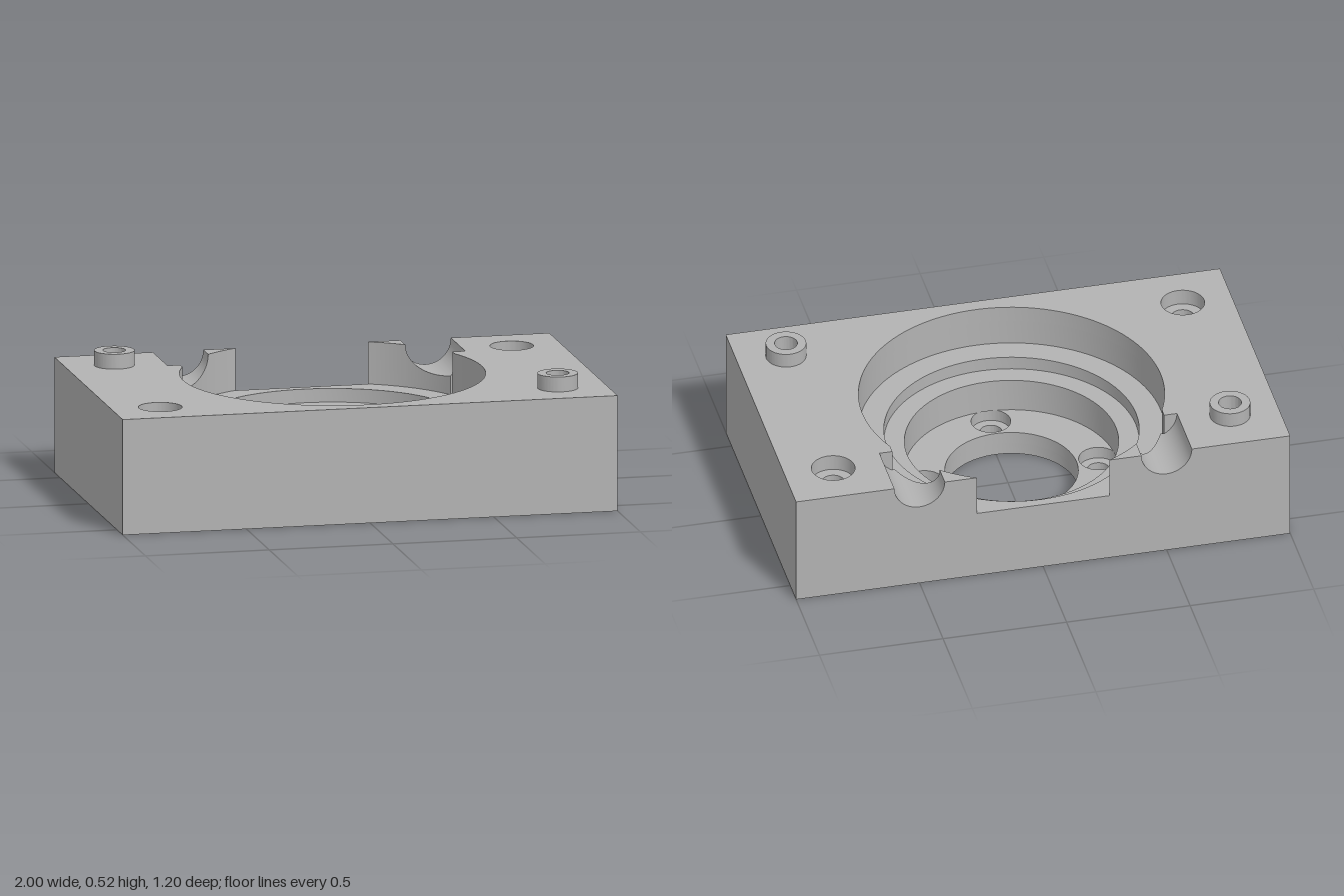
import * as THREE from 'three';
import { toCreasedNormals } from 'three/addons/utils/BufferGeometryUtils.js';

// Shapes are drawn in plan: shape x = x, shape y = -z, extruded upwards.
const CY = 0.06;            // plan centre of the round pocket
const TOP = 0.465;          // top face of the block
const LEDGE = 0.295;        // floor of the widest pocket
const R = 0.603;            // widest pocket radius
const GX = 0.5, GR = 0.102; // groove centre and radius
const GEND = 0.345, NECK = 0.55;

const arcY = (x) => CY + Math.sqrt(R * R - x * x);

function circle(x, y, r) {
  return new THREE.Path().absarc(x, y, r, 0, Math.PI * 2, true);
}

function hexagon(x, y, r) {
  const pts = [];
  for (let i = 0; i < 6; i++) {
    const a = -i * Math.PI / 3;
    pts.push(new THREE.Vector2(x + r * Math.cos(a), y + r * Math.sin(a)));
  }
  return new THREE.Path(pts);
}

function slab(name, shapes, y0, y1, material) {
  const geo = new THREE.ExtrudeGeometry(shapes, { depth: y1 - y0, bevelEnabled: false, curveSegments: 40 });
  geo.rotateX(-Math.PI / 2);
  geo.translate(0, y0, 0);
  const mesh = new THREE.Mesh(toCreasedNormals(geo, 0.5), material);
  mesh.name = name;
  return mesh;
}

function block(holes) {
  const s = new THREE.Shape();
  s.moveTo(-1, -0.6).lineTo(1, -0.6).lineTo(1, 0.6).lineTo(-1, 0.6).closePath();
  s.holes.push(...holes);
  return s;
}

// Upper wall open at the back, with notches for the grooves
function upperWall(holes) {
  const a = Math.atan2(arcY(NECK) - CY, NECK), out = GX + GR;
  const s = new THREE.Shape();
  s.moveTo(-1, -0.6).lineTo(1, -0.6).lineTo(1, 0.6).lineTo(out, 0.6);
  s.lineTo(out, GEND).lineTo(NECK, GEND);
  s.absarc(0, CY, R, a, -Math.PI - a, true);
  s.lineTo(-NECK, GEND).lineTo(-out, GEND).lineTo(-out, 0.6).lineTo(-1, 0.6);
  s.closePath();
  s.holes.push(...holes);
  return s;
}

// Small wedge between the pocket and each groove
function wedge(side) {
  const inner = GX - GR, mouth = Math.sqrt(R * R - (0.6 - CY) ** 2);
  const pts = [new THREE.Vector2(side * mouth, 0.6), new THREE.Vector2(side * inner, 0.6)];
  for (let i = 0; i < 10; i++) {
    const x = inner + (mouth - inner) * i / 10;
    pts.push(new THREE.Vector2(side * x, arcY(x)));
  }
  return new THREE.Shape(pts);
}

// Round-bottomed channel running to the back face
function groove(side, material) {
  const n = 24, pos = [];
  const quad = (a, b, c, d) => pos.push(...a, ...b, ...c, ...a, ...c, ...d);
  const section = (i) => {
    const t = Math.PI * (1 - i / n);
    const x = side * GX + GR * Math.cos(t), y = TOP - GR * Math.sin(t);
    const end = Math.abs(x) > NECK ? -GEND : -arcY(Math.abs(x));
    return { back: [x, y, -0.6], front: [x, y, end], backLow: [x, LEDGE, -0.6], frontLow: [x, LEDGE, end] };
  };
  for (let i = 0; i < n; i++) {
    const p = section(i), q = section(i + 1);
    quad(p.front, q.front, q.back, p.back);
    quad(p.frontLow, q.frontLow, q.front, p.front);
    quad(q.backLow, p.backLow, p.back, q.back);
  }
  const geo = new THREE.BufferGeometry();
  geo.setAttribute('position', new THREE.Float32BufferAttribute(pos, 3));
  const mesh = new THREE.Mesh(toCreasedNormals(geo, 0.5), material);
  mesh.name = side > 0 ? 'leftGroove' : 'rightGroove';
  return mesh;
}

export function createModel() {
  const grey = new THREE.MeshStandardMaterial({ color: 0xb2b2b2 });
  grey.name = 'grey';
  const model = new THREE.Group();
  model.name = 'bearingHousing';

  const corners = [[-0.803, 0.403], [0.803, 0.403], [0.803, -0.403], [-0.803, -0.403]];
  const isPost = ([x, y]) => x * y < 0;
  const screws = [[0.352, CY], [-0.352, CY], [0, CY + 0.352], [0, CY - 0.352]];
  const bolts = () => corners.map(([x, y]) => circle(x, y, 0.045));
  const nuts = () => corners.map(([x, y]) => hexagon(x, y, 0.086));
  const screwHoles = (r) => screws.map(([x, y]) => circle(x, y, r));
  const bore = (r) => circle(0, CY, r);

  // Stacked body: each level has its own openings
  model.add(
    slab('base', block([bore(0.263), ...nuts(), ...screwHoles(0.044)]), 0, 0.05, grey),
    slab('boreFloor', block([bore(0.263), ...nuts(), ...screwHoles(0.078)]), 0.05, 0.1, grey),
    slab('innerSeat', block([bore(0.422), ...bolts()]), 0.1, 0.24, grey),
    slab('outerSeat', block([bore(0.503), ...bolts()]), 0.24, LEDGE, grey),
    slab('pocketWall', upperWall(bolts()), LEDGE, 0.4, grey),
    slab('rim', upperWall(corners.map((c) => circle(c[0], c[1], isPost(c) ? 0.045 : 0.086))), 0.4, TOP, grey),
  );

  // Wedges and grooves on both sides
  for (const side of [1, -1]) {
    model.add(slab('wedge', wedge(side), LEDGE, TOP, grey), groove(side, grey));
  }

  // Locating collars on two opposite corners
  for (const [x, y] of corners.filter(isPost)) {
    const ring = new THREE.Shape().absarc(x, y, 0.08, 0, Math.PI * 2, false);
    ring.holes.push(circle(x, y, 0.045));
    model.add(slab('locatingCollar', ring, TOP, 0.525, grey));
  }
  return model;
}
